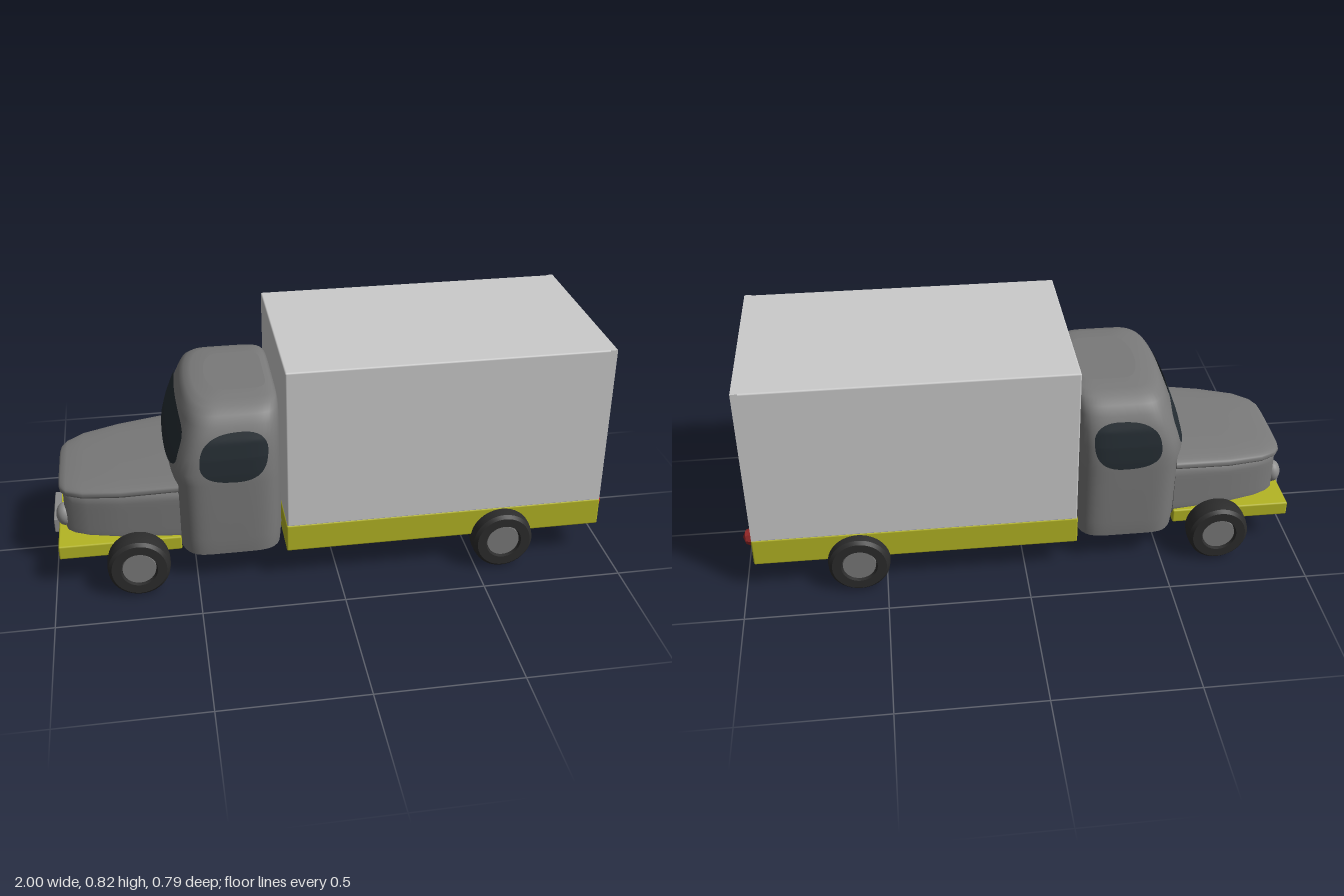
import * as THREE from 'three';
import { toCreasedNormals } from 'three/addons/utils/BufferGeometryUtils.js';
import { RoundedBoxGeometry } from 'three/addons/geometries/RoundedBoxGeometry.js';

const mat = (color, extra = {}) => new THREE.MeshStandardMaterial({ color, ...extra });
const MID_Z = -0.005;

// Unit superellipse point at angle t: rounded-square outline
function squircle(t, n) {
  const c = Math.cos(t), s = Math.sin(t);
  const r = (Math.abs(c) ** n + Math.abs(s) ** n) ** (-1 / n);
  return [c * r, s * r];
}

// Skin over rings of points, with flat caps at both ends
function loft(rings) {
  const pos = [], index = [], n = rings[0].length;
  rings.forEach(ring => ring.forEach(p => pos.push(...p)));
  for (let i = 0; i < rings.length - 1; i++) {
    for (let j = 0; j < n; j++) {
      const a = i * n + j, b = i * n + (j + 1) % n;
      index.push(a, a + n, b, b, a + n, b + n);
    }
  }
  [rings[0], rings[rings.length - 1]].forEach((ring, end) => {
    const start = pos.length / 3;
    ring.forEach(p => pos.push(...p));
    pos.push(...[0, 1, 2].map(k => ring.reduce((s, p) => s + p[k], 0) / n));
    for (let j = 0; j < n; j++) {
      const a = start + j, b = start + (j + 1) % n;
      index.push(start + n, end ? b : a, end ? a : b);
    }
  });
  const g = new THREE.BufferGeometry();
  g.setAttribute('position', new THREE.Float32BufferAttribute(pos, 3));
  g.setIndex(index);
  g.computeVertexNormals();
  return g;
}

const ringOf = (count, fn) => Array.from({ length: count }, (_, j) => fn(j / count * Math.PI * 2));

// Cab levels: height, front x, back x, half width
const CAB = [
  [0.115, -0.57, -0.19, 0.322], [0.18, -0.575, -0.185, 0.328], [0.4, -0.578, -0.185, 0.33],
  [0.44, -0.588, -0.185, 0.33], [0.5, -0.572, -0.185, 0.326], [0.56, -0.55, -0.185, 0.316],
  [0.61, -0.53, -0.185, 0.297], [0.64, -0.518, -0.186, 0.274], [0.66, -0.5, -0.19, 0.243],
  [0.67, -0.475, -0.2, 0.207], [0.675, -0.43, -0.22, 0.15]];
const CAB_N = 6, BOW = 0.028;

function cabLevel(y) {
  let i = 0;
  while (i < CAB.length - 2 && CAB[i + 1][0] < y) i++;
  const f = (y - CAB[i][0]) / (CAB[i + 1][0] - CAB[i][0]);
  return CAB[i].map((v, k) => v + (CAB[i + 1][k] - v) * f);
}

function cabPoint([y, xf, xb, hw], u, v) {
  const x = (xf + xb) / 2 + (xb - xf) / 2 * u + BOW * Math.max(0, -u) * v * v;
  return [x, y, MID_Z + hw * v];
}

// Curved pane: a rounded outline laid onto the cab surface
function pane(n, place) {
  const g = new THREE.RingGeometry(0.001, 1, 48, 10);
  const p = g.attributes.position;
  for (let i = 0; i < p.count; i++) {
    const x = p.getX(i), y = p.getY(i), r = Math.hypot(x, y);
    const [a, b] = squircle(Math.atan2(y, x), n);
    p.setXYZ(i, ...place(a * r, b * r));
  }
  g.computeVertexNormals();
  return g;
}

// Bonnet sections: x, bottom, top, half width
function bonnet(rows, n) {
  return loft(rows.map(([x, y0, y1, hw]) => ringOf(48, t => {
    const [a, b] = squircle(t, n);
    return [x, (y0 + y1) / 2 + (y1 - y0) / 2 * b, MID_Z + hw * a];
  })));
}

export function createModel() {
  const truck = new THREE.Group();
  truck.name = 'boxTruck';
  const light = mat(0xcccccc), grey = mat(0x7a7a7a), yellow = mat(0xb4b524);
  const rubber = mat(0x2c2c2c), glass = mat(0x252d33, { side: THREE.DoubleSide });
  const plateGrey = mat(0x8c8c8c), red = mat(0x9a2a2a, { flatShading: true });

  function add(name, geometry, material, parent = truck) {
    const m = new THREE.Mesh(geometry, material);
    m.name = name;
    parent.add(m);
    return m;
  }
  // Box given by its limits on each axis
  function box(name, material, [x0, x1], [y0, y1], [z0, z1], r = 0.006) {
    const m = add(name, new RoundedBoxGeometry(x1 - x0, y1 - y0, z1 - z0, 2, r), material);
    m.position.set((x0 + x1) / 2, (y0 + y1) / 2, (z0 + z1) / 2);
    return m;
  }

  // Chassis
  box('rearChassis', yellow, [-0.185, 0.962], [0.12, 0.225], [-0.357, 0.347]);
  box('frontChassis', yellow, [-0.98, -0.55], [0.117, 0.17], [-0.28, 0.27]);

  // Cargo body with a framed rear opening and two doors
  box('cargoBody', light, [-0.182, 0.945], [0.22, 0.82], [-0.355, 0.345]);
  const frame = new THREE.Shape();
  frame.moveTo(-0.35, 0.22).lineTo(0.35, 0.22).lineTo(0.35, 0.82).lineTo(-0.35, 0.82).closePath();
  const hole = new THREE.Path();
  hole.moveTo(-0.312, 0.248).lineTo(-0.312, 0.792).lineTo(0.312, 0.792).lineTo(0.312, 0.248).closePath();
  frame.holes.push(hole);
  const frameGeo = new THREE.ExtrudeGeometry(frame, { depth: 0.025, bevelEnabled: false });
  const rearFrame = add('rearFrame', frameGeo, light);
  rearFrame.rotation.y = Math.PI / 2;
  rearFrame.position.set(0.935, 0, MID_Z);
  box('leftRearDoor', grey, [0.93, 0.955], [0.252, 0.788], [-0.312, -0.01]);
  box('rightRearDoor', grey, [0.93, 0.955], [0.252, 0.788], [0, 0.303]);

  // Cab
  add('cab', loft(CAB.map(row => ringOf(96, t => cabPoint(row, ...squircle(t, CAB_N))))), grey);
  add('windscreen', pane(4.5, (a, b) => {
    const row = cabLevel(0.53 + 0.078 * b - 0.012 * a * a);
    const v = 0.268 * a * (1 - 0.05 * b) / row[3];
    const p = cabPoint(row, -((1 - Math.abs(v) ** CAB_N) ** (1 / CAB_N)), v);
    return [p[0] - 0.006, p[1], p[2]];
  }), glass);
  for (const side of [1, -1]) {
    add(side > 0 ? 'leftSideWindow' : 'rightSideWindow', pane(2.6, (a, b) => {
      const row = cabLevel(0.503 + 0.09 * b * (1 + 0.06 * a));
      const x = -0.358 + 0.117 * a + 0.012 * b;
      const u = (x - (row[1] + row[2]) / 2) / ((row[2] - row[1]) / 2);
      const p = cabPoint(row, u, side * (1 - Math.abs(u) ** CAB_N) ** (1 / CAB_N));
      return [x, p[1], p[2] + side * 0.006];
    }), glass);
  }

  // Bonnet: lower sides and overhanging lid
  add('bonnetSides', bonnet([
    [-0.953, 0.14, 0.325, 0.14], [-0.945, 0.13, 0.33, 0.165], [-0.92, 0.13, 0.335, 0.188],
    [-0.87, 0.13, 0.34, 0.212], [-0.75, 0.13, 0.35, 0.242], [-0.55, 0.13, 0.365, 0.265]], 10), grey);
  add('bonnetLid', bonnet([
    [-0.967, 0.318, 0.335, 0.12], [-0.96, 0.31, 0.345, 0.155], [-0.94, 0.308, 0.352, 0.185],
    [-0.88, 0.312, 0.362, 0.222], [-0.75, 0.322, 0.374, 0.254], [-0.55, 0.34, 0.39, 0.277]], 3.5), grey);

  // Lamps, mirrored
  for (const side of [1, -1]) {
    const head = add('headlight', new THREE.SphereGeometry(1, 24, 16), plateGrey);
    head.scale.set(0.03, 0.042, 0.038);
    head.position.set(-0.955, 0.217, MID_Z + side * 0.13);
    const tail = add('tailLight', new THREE.SphereGeometry(1, 8, 4).rotateZ(-Math.PI / 2), red);
    tail.scale.set(0.037, 0.036, 0.036);
    tail.position.set(0.963, 0.174, side * 0.262);
  }

  // Blank plates
  box('frontPlate', plateGrey, [-1, -0.975], [0.12, 0.176], [-0.097, 0.095], 0.004);
  box('rearPlate', plateGrey, [0.955, 0.99], [0.158, 0.225], [-0.102, 0.105], 0.004);

  // Wheels
  const W = 0.046;
  const profile = [[0, -W], [0.096, -W], [0.107, -W * 0.75], [0.11, -W * 0.3], [0.11, W * 0.3],
    [0.107, W * 0.75], [0.096, W], [0.064, W], [0.06, W * 0.6], [0, W * 0.6]];
  const tyreGeo = toCreasedNormals(
    new THREE.LatheGeometry(profile.map(p => new THREE.Vector2(...p)), 40).rotateX(Math.PI / 2), 0.6);
  const hubGeo = new THREE.CylinderGeometry(0.058, 0.06, 0.02, 32).rotateX(Math.PI / 2);
  for (const [name, x, z] of [['front', -0.705, 0.32], ['rear', 0.595, 0.35]]) {
    for (const side of [1, -1]) {
      const wheel = new THREE.Group();
      wheel.name = name + (side > 0 ? 'LeftWheel' : 'RightWheel');
      wheel.position.set(x, 0.11, side * z);
      wheel.rotation.y = side > 0 ? 0 : Math.PI;
      add('tyre', tyreGeo, rubber, wheel);
      add('hub', hubGeo, grey, wheel).position.z = W * 0.6;
      truck.add(wheel);
    }
  }
  // Axles
  for (const x of [-0.705, 0.595]) {
    const axle = add('axle', new THREE.CylinderGeometry(0.015, 0.015, 0.6, 12).rotateX(Math.PI / 2), rubber);
    axle.position.set(x, 0.135, 0);
  }
  return truck;
}
